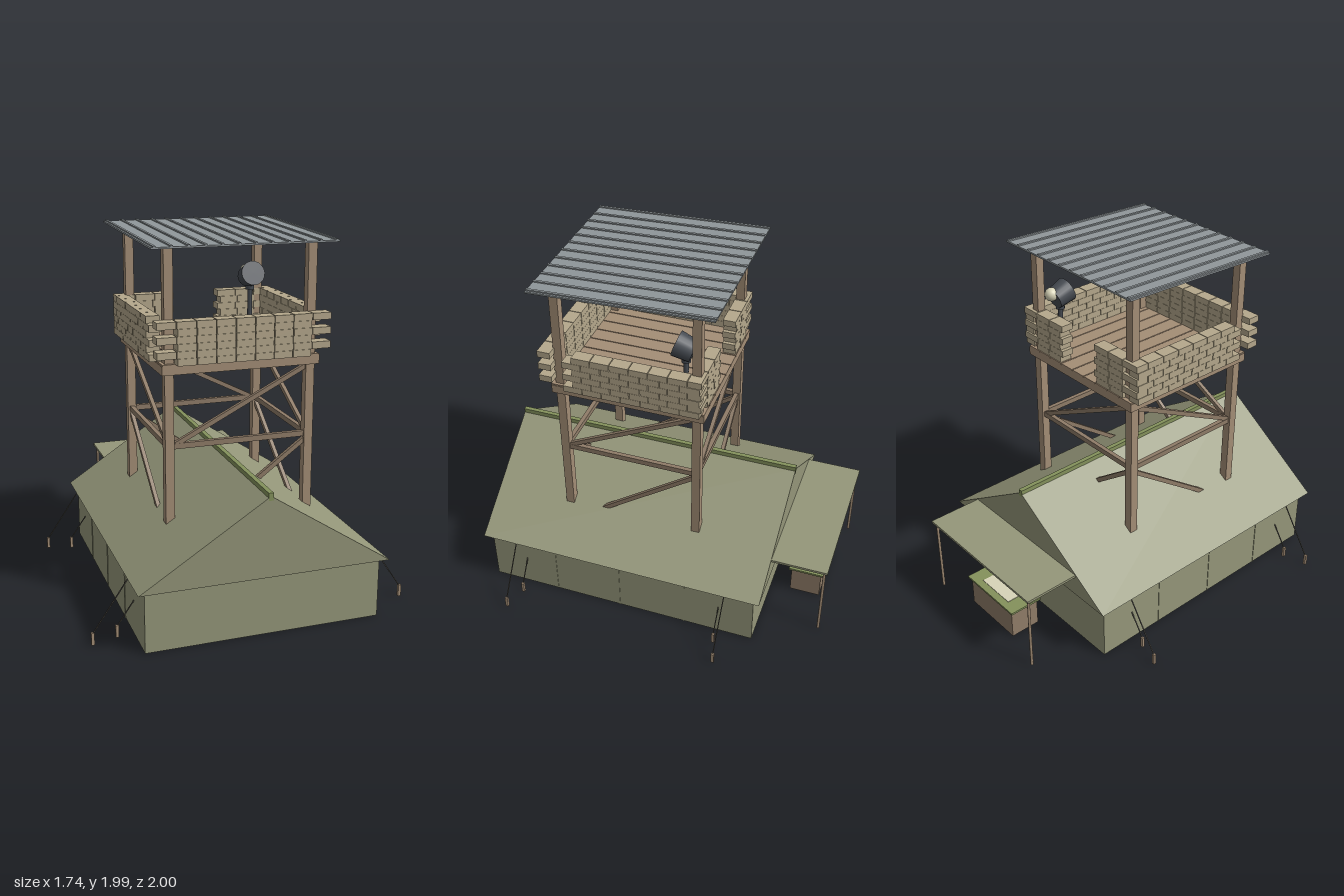
import * as THREE from 'three';

const mat = (color, extra = {}) => new THREE.MeshStandardMaterial({ color, ...extra });
const canvas = mat(0x95977a, { flatShading: true });
const ridgeGreen = mat(0x84925c);
const wood = mat(0xa48e76);
const darkWood = mat(0x8f7c68);
const bag = mat(0xb5a88c);
const metal = mat(0x90979a);
const dark = mat(0x464b52);
const cream = mat(0xd8d4b8);
const rope = mat(0x55524a);

const V = (x, y, z) => new THREE.Vector3(x, y, z);

function add(parent, name, geo, material, x = 0, y = 0, z = 0) {
  const m = new THREE.Mesh(geo, material);
  m.name = name;
  m.position.set(x, y, z);
  parent.add(m);
  return m;
}

// box given by its limits on each axis
function box(parent, name, material, [x0, x1], [y0, y1], [z0, z1]) {
  return add(parent, name, new THREE.BoxGeometry(x1 - x0, y1 - y0, z1 - z0), material,
    (x0 + x1) / 2, (y0 + y1) / 2, (z0 + z1) / 2);
}

// square bar between two points
function bar(parent, name, material, a, b, w, h = w) {
  const m = add(parent, name, new THREE.BoxGeometry(w, h, a.distanceTo(b)), material);
  m.position.copy(a).add(b).multiplyScalar(0.5);
  m.lookAt(b);
  return m;
}

function group(parent, name) {
  const g = new THREE.Group();
  g.name = name;
  parent.add(g);
  return g;
}

function buildTent(root) {
  const tent = group(root, 'tent');
  box(tent, 'tentWalls', canvas, [-0.635, 0.635], [0, 0.335], [-0.64, 0.95]);
  for (const s of [-1, 1])
    for (const z of [0.555, 0.16, -0.235])
      box(tent, 'wallSeam', canvas, [s * 0.636 - 0.002, s * 0.636 + 0.002], [0, 0.33], [z - 0.003, z + 0.003]);

  // solid gable roof, slightly longer at the ridge than at the eaves
  const shape = new THREE.Shape([new THREE.Vector2(-0.675, 0.33), new THREE.Vector2(0.675, 0.33), new THREE.Vector2(0, 0.768)]);
  const roof = new THREE.ExtrudeGeometry(shape, { depth: 1.69, bevelEnabled: false });
  roof.translate(0, 0, -0.69);
  const p = roof.attributes.position;
  for (let i = 0; i < p.count; i++)
    if (p.getY(i) < 0.5) p.setZ(i, p.getZ(i) > 0 ? 0.988 : -0.68);
  roof.computeVertexNormals();
  add(tent, 'tentRoof', roof, canvas);
  box(tent, 'ridge', ridgeGreen, [-0.013, 0.013], [0.745, 0.785], [-0.691, 1]);

  // guy ropes and stakes
  for (const s of [-1, 1]) {
    for (const [x0, y0, x1, z] of [[0.675, 0.33, 0.86, 0.78], [0.675, 0.33, 0.86, -0.48],
      [0.634, 0.19, 0.725, 0.74], [0.634, 0.19, 0.725, -0.44]]) {
      bar(tent, 'guyRope', rope, V(s * x0, y0, z), V(s * x1, 0.058, z), 0.005);
      box(tent, 'stake', wood, [s * x1 - 0.008, s * x1 + 0.008], [0, 0.065], [z - 0.008, z + 0.008]);
    }
  }
}

function buildAwning(root) {
  const awning = group(root, 'awning');
  box(awning, 'awningSheet', canvas, [-0.453, 0.453], [0.456, 0.47], [-1, -0.66]);
  for (const s of [-1, 1])
    add(awning, 'awningPole', new THREE.CylinderGeometry(0.008, 0.008, 0.456, 8), wood, s * 0.43, 0.228, -0.98);
  const table = group(root, 'table');
  box(table, 'tableCrate', darkWood, [-0.19, 0.19], [0, 0.175], [-0.93, -0.755]);
  box(table, 'tableTop', ridgeGreen, [-0.21, 0.21], [0.173, 0.185], [-0.942, -0.742]);
  box(table, 'paperSheet', cream, [-0.12, 0.12], [0.185, 0.188], [-0.9, -0.79]);
}

const POST = 0.385, ZF = 0.54, ZB = -0.225;

function buildTower(root) {
  const tower = group(root, 'tower');
  for (const x of [-POST, POST])
    for (const z of [ZF, ZB])
      box(tower, 'post', wood, [x - 0.024, x + 0.024], [0.34, 1.948], [z - 0.024, z + 0.024]);

  // girts and zigzag braces; opposite directions on the front and back
  for (const [z, s] of [[ZF, 1], [ZB, -1]]) {
    bar(tower, 'girt', darkWood, V(-POST, 0.92, z), V(POST, 0.92, z), 0.025, 0.03);
    bar(tower, 'upperBrace', darkWood, V(-s * POST, 0.91, z), V(s * POST, 1.3, z), 0.022, 0.025);
    bar(tower, 'lowerBrace', darkWood, V(s * POST, 0.9, z), V(-s * 0.25, 0.43, z), 0.022, 0.025);
  }
  for (const x of [-POST, POST]) {
    bar(tower, 'girt', darkWood, V(x, 0.92, ZB), V(x, 0.92, ZF), 0.025, 0.03);
    bar(tower, 'upperBrace', darkWood, V(x, 0.92, ZF), V(x, 1.3, ZB), 0.022, 0.025);
    bar(tower, 'lowerBrace', darkWood, V(x, 0.9, ZB), V(x, 0.45, 0.41), 0.022, 0.025);
  }

  // platform frame with deck planks
  box(tower, 'platform', wood, [-0.428, 0.428], [1.305, 1.352], [-0.272, 0.582]);
  const n = 9, w = 0.856 / n;
  for (let i = 0; i < n; i++) {
    const x = -0.428 + i * w;
    box(tower, 'deckPlank', wood, [x + 0.003, x + w - 0.003], [1.35, 1.36], [-0.272, 0.582]);
  }
}

// one course of bags between two ends, along x or along z
function course(parent, alongX, a, b, row, c0, c1) {
  const n = Math.max(1, Math.round((b - a) / 0.11)), w = (b - a) / n;
  const y = 1.36 + row * 0.0375;
  for (let i = 0; i < n; i++) {
    const run = [a + i * w + 0.002, a + (i + 1) * w - 0.002];
    const cross = [c0, c1], ys = [y, y + 0.0365];
    if (alongX) box(parent, 'sandbag', bag, run, ys, cross);
    else box(parent, 'sandbag', bag, cross, ys, run);
  }
}

function buildParapet(root) {
  const parapet = group(root, 'parapet');
  for (let r = 0; r < 6; r++) {
    const long = r % 2 === 1;
    const end = long ? 0.468 : 0.36;
    course(parapet, true, -end, end, r, 0.558, 0.63);
    // back wall leaves an entrance in the middle
    const gap = long ? 0.13 : 0.15;
    course(parapet, true, gap, end, r, -0.267, -0.195);
    course(parapet, true, -end, -gap, r, -0.267, -0.195);
    for (const [c0, c1] of [[0.396, 0.468], [-0.468, -0.396]])
      course(parapet, false, long ? -0.193 : -0.26, long ? 0.44 : 0.495, r, c0, c1);
  }
}

function buildRoof(root) {
  const roof = group(root, 'metalRoof');
  roof.position.set(0, 1.966, 0.153);
  roof.rotation.x = Math.atan2(0.033, 0.99);
  box(roof, 'roofSheet', metal, [-0.495, 0.495], [-0.005, 0.004], [-0.495, 0.495]);
  for (let i = 0; i < 12; i++) {
    const x = (i - 5.5) * 0.0868;
    box(roof, 'roofRib', metal, [x - 0.007, x + 0.007], [0.003, 0.011], [-0.495, 0.495]);
  }
}

function buildSearchlight(root) {
  const light = group(root, 'searchlight');
  light.position.set(0.31, 0, -0.135);
  add(light, 'lightPole', new THREE.CylinderGeometry(0.014, 0.014, 0.25, 10), dark, 0, 1.475, 0);
  add(light, 'lightMount', new THREE.CylinderGeometry(0.025, 0.025, 0.03, 12), dark, 0, 1.605, 0);
  const head = group(light, 'lightHead');
  head.position.set(0, 1.675, 0.005);
  head.rotation.x = -0.33;
  const drum = add(head, 'lightDrum', new THREE.CylinderGeometry(0.07, 0.06, 0.1, 20), dark);
  drum.rotation.x = Math.PI / 2;
  add(head, 'lightBulb', new THREE.SphereGeometry(0.038, 16, 12), cream, 0, 0.035, -0.055);
}

export function createModel() {
  const root = new THREE.Group();
  root.name = 'watchtowerTent';
  buildTent(root);
  buildAwning(root);
  buildTower(root);
  buildParapet(root);
  buildRoof(root);
  buildSearchlight(root);
  return root;
}
